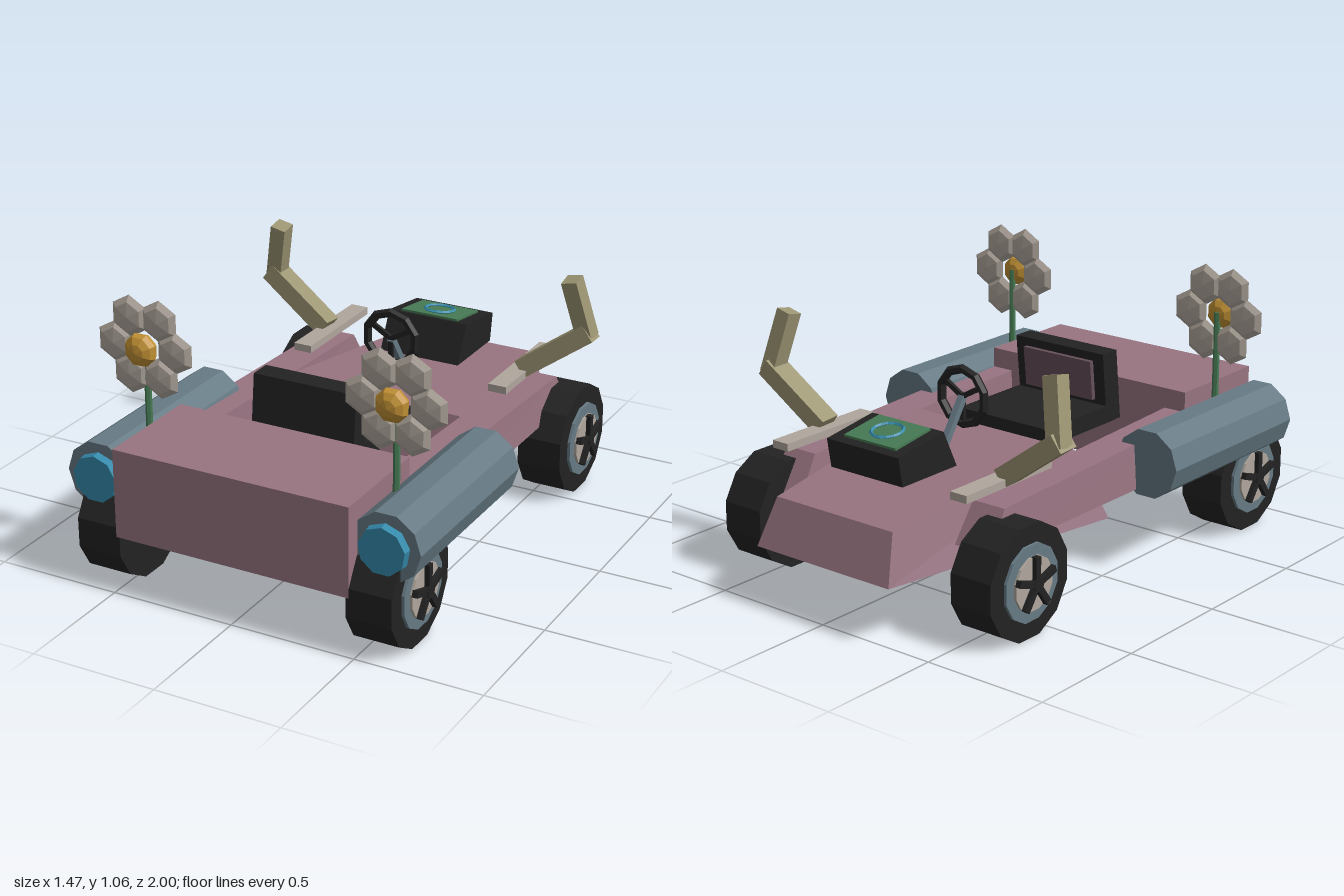
import * as THREE from 'three';

const mat = (name, color, extra = {}) => {
  const m = new THREE.MeshStandardMaterial({ color, flatShading: true, ...extra });
  m.name = name;
  return m;
};

export function createModel() {
  const root = new THREE.Group();
  root.name = 'buggy';
  const M = {
    pink: mat('dusty pink', 0x987481),
    mauve: mat('dark mauve', 0x66505a),
    steel: mat('blue grey', 0x667a84),
    black: mat('black', 0x222222),
    cream: mat('warm grey', 0xb0a79d),
    khaki: mat('khaki', 0x9d9674),
    orange: mat('orange', 0xc09034),
    green: mat('green', 0x467a54),
    blue: mat('lamp blue', 0x348aac),
  };

  const add = (name, geo, material, parent = root) => {
    const m = new THREE.Mesh(geo, material);
    m.name = name;
    parent.add(m);
    return m;
  };
  // box whose corners are placed by a rule of the corner signs
  const block = (rule) => {
    const g = new THREE.BoxGeometry(2, 2, 2);
    const p = g.attributes.position;
    for (let i = 0; i < p.count; i++) {
      p.setXYZ(i, ...rule(Math.sign(p.getX(i)), Math.sign(p.getY(i)), Math.sign(p.getZ(i))));
    }
    g.computeVertexNormals();
    return g;
  };
  const span = (x0, x1, y0, y1, z0, z1) =>
    block((x, y, z) => [x > 0 ? x1 : x0, y > 0 ? y1 : y0, z > 0 ? z1 : z0]);
  // straight bar between two points
  const bar = (name, a, b, geoOf, material) => {
    const A = new THREE.Vector3(...a), B = new THREE.Vector3(...b);
    const d = B.clone().sub(A);
    const m = add(name, geoOf(d.length()), material);
    m.position.copy(A).add(B).multiplyScalar(0.5);
    m.quaternion.setFromUnitVectors(new THREE.Vector3(0, 1, 0), d.normalize());
    return m;
  };

  // body: box at one end, tapered nose at the other
  add('rearBody', span(-0.48, 0.48, 0.24, 0.59, 0.55, 1), M.pink);
  add('nose', block((x, y, z) => {
    if (z > 0) return y > 0 ? [x * 0.388, 0.495, -0.035] : [x * 0.5, 0.228, 0.035];
    return y > 0 ? [x * 0.28, 0.41, -0.93] : [x * 0.32, 0.228, -1];
  }), M.pink);

  // seat with a leaning backrest and padded panel
  add('seatCushion', span(-0.218, 0.218, 0.45, 0.52, 0.02, 0.45), M.black);
  const lean = (w, y0, y1, z0, z1) => block((x, y, z) => {
    const h = y > 0 ? y1 : y0;
    return [x * w, h, (z > 0 ? z1 : z0) - (h - 0.5) * 0.11];
  });
  add('seatBack', lean(0.215, 0.45, 0.735, 0.395, 0.483), M.black);
  add('seatPanel', lean(0.165, 0.54, 0.7, 0.375, 0.397), M.mauve);

  // steering wheel and column
  const steering = new THREE.Group();
  steering.name = 'steeringWheel';
  steering.position.set(0, 0.67, -0.218);
  root.add(steering);
  add('steeringRim', new THREE.TorusGeometry(0.108, 0.018, 6, 10), M.black, steering).rotation.z = Math.PI / 10;
  for (const a of [0, 1, 2]) {
    const g = new THREE.BoxGeometry(0.1, 0.02, 0.014).translate(0.05, 0, 0);
    add('steeringSpoke', g, M.black, steering).rotation.z = -Math.PI / 2 + a * Math.PI * 2 / 3;
  }
  bar('steeringColumn', [0, 0.67, -0.218], [0, 0.465, -0.355],
    (l) => new THREE.BoxGeometry(0.026, l, 0.026), M.steel);

  // instrument box with green top plate and ring
  const topY = (z) => 0.65 + (z + 0.53) * 0.143;
  add('instrumentBox', block((x, y, z) => {
    if (y > 0) return [x * 0.173, topY(z > 0 ? -0.53 : -0.775), z > 0 ? -0.53 : -0.775];
    return [x * 0.173, 0.5, z > 0 ? -0.458 : -0.755];
  }), M.black);
  add('instrumentPlate', block((x, y, z) => {
    const pz = z > 0 ? -0.545 : -0.735;
    return [x * 0.125, topY(pz) + (y > 0 ? 0.009 : 0), pz];
  }), M.green);
  const ring = add('instrumentRing', new THREE.TorusGeometry(0.06, 0.007, 4, 14), M.blue);
  ring.position.set(0, topY(-0.64) + 0.012, -0.64);
  ring.rotation.x = -Math.PI / 2 - 0.14;

  // wheel with rim, hub disc and five spokes on its outer side
  const wheel = (name, s, z) => {
    const g = new THREE.Group();
    g.name = name;
    g.position.set(s * 0.557, 0.22, z);
    root.add(g);
    const disc = (part, r, x0, x1, n, m) =>
      add(part, new THREE.CylinderGeometry(r, r, x1 - x0, n).rotateY(Math.PI / n)
        .rotateZ(Math.PI / 2).translate(s * (x0 + x1) / 2, 0, 0), m, g);
    disc('tyre', 0.222, -0.09, 0.09, 12, M.black);
    disc('rim', 0.148, 0.08, 0.102, 12, M.steel);
    disc('hubDisc', 0.105, 0.1, 0.112, 12, M.cream);
    disc('hubCap', 0.026, 0.11, 0.134, 10, M.black);
    for (let i = 0; i < 5; i++) {
      const sp = new THREE.BoxGeometry(0.022, 0.105, 0.026).translate(s * 0.12, 0.0525, 0);
      add('wheelSpoke', sp, M.black, g).rotation.x = i * Math.PI * 2 / 5;
    }
  };

  for (const s of [-1, 1]) {
    const side = s > 0 ? 'left' : 'right';
    wheel(side + 'RearWheel', s, 0.785);
    wheel(side + 'FrontWheel', s, -0.625);

    // side rail with slanted tip
    add(side + 'Rail', block((x, y, z) => {
      const outer = x === s;
      const px = outer ? (y > 0 ? 0.53 : 0.543) : (y > 0 ? 0.386 : 0.376);
      if (z > 0) return [s * px, y > 0 ? 0.51 : 0.32, 0.56];
      return [s * px, y > 0 ? 0.465 : 0.32, y > 0 ? -0.62 : -0.71];
    }), M.pink);

    // long side tube and lamp
    const tube = add(side + 'Tube', new THREE.CylinderGeometry(0.136, 0.136, 0.785, 10)
      .rotateY(Math.PI / 10).rotateX(Math.PI / 2), M.steel);
    tube.position.set(s * 0.588, 0.432, 0.542);
    const lamp = add(side + 'Lamp', new THREE.CylinderGeometry(0.092, 0.096, 0.034, 9)
      .rotateY(Math.PI).rotateX(Math.PI / 2), M.blue);
    lamp.position.set(s * 0.588, 0.432, 0.95);

    // flat side bar and jointed arm
    add(side + 'SideBar', span(s * 0.432 - 0.038, s * 0.432 + 0.038, 0.508, 0.538, -0.755, -0.275), M.cream);
    bar(side + 'LowerArm', [s * 0.44, 0.535, -0.498], [s * 0.71, 0.73, -0.52],
      (l) => new THREE.BoxGeometry(0.075, l, 0.085), M.khaki);
    bar(side + 'UpperArm', [s * 0.695, 0.7, -0.525], [s * 0.64, 0.945, -0.478],
      (l) => new THREE.BoxGeometry(0.065, l, 0.068), M.khaki);

    // flower
    const flower = new THREE.Group();
    flower.name = side + 'Flower';
    flower.position.set(s * 0.512, 0.875, 0.717);
    root.add(flower);
    add('stem', new THREE.CylinderGeometry(0.013, 0.013, 0.39, 6).translate(0, -0.185, -0.006), M.green, flower);
    for (let i = 0; i < 6; i++) {
      const a = i * Math.PI / 3;
      const petal = new THREE.SphereGeometry(0.082, 6, 4).rotateX(Math.PI / 2).rotateZ(Math.PI / 6).scale(1, 1, 0.29);
      add('petal', petal, M.cream, flower).position.set(Math.cos(a) * 0.127, Math.sin(a) * 0.127, 0);
    }
    const heart = new THREE.SphereGeometry(0.066, 8, 6).rotateX(Math.PI / 2).rotateZ(Math.PI / 8).scale(1, 1, 0.65);
    add('flowerCentre', heart, M.orange, flower).position.z = 0.03;
  }
  return root;
}
